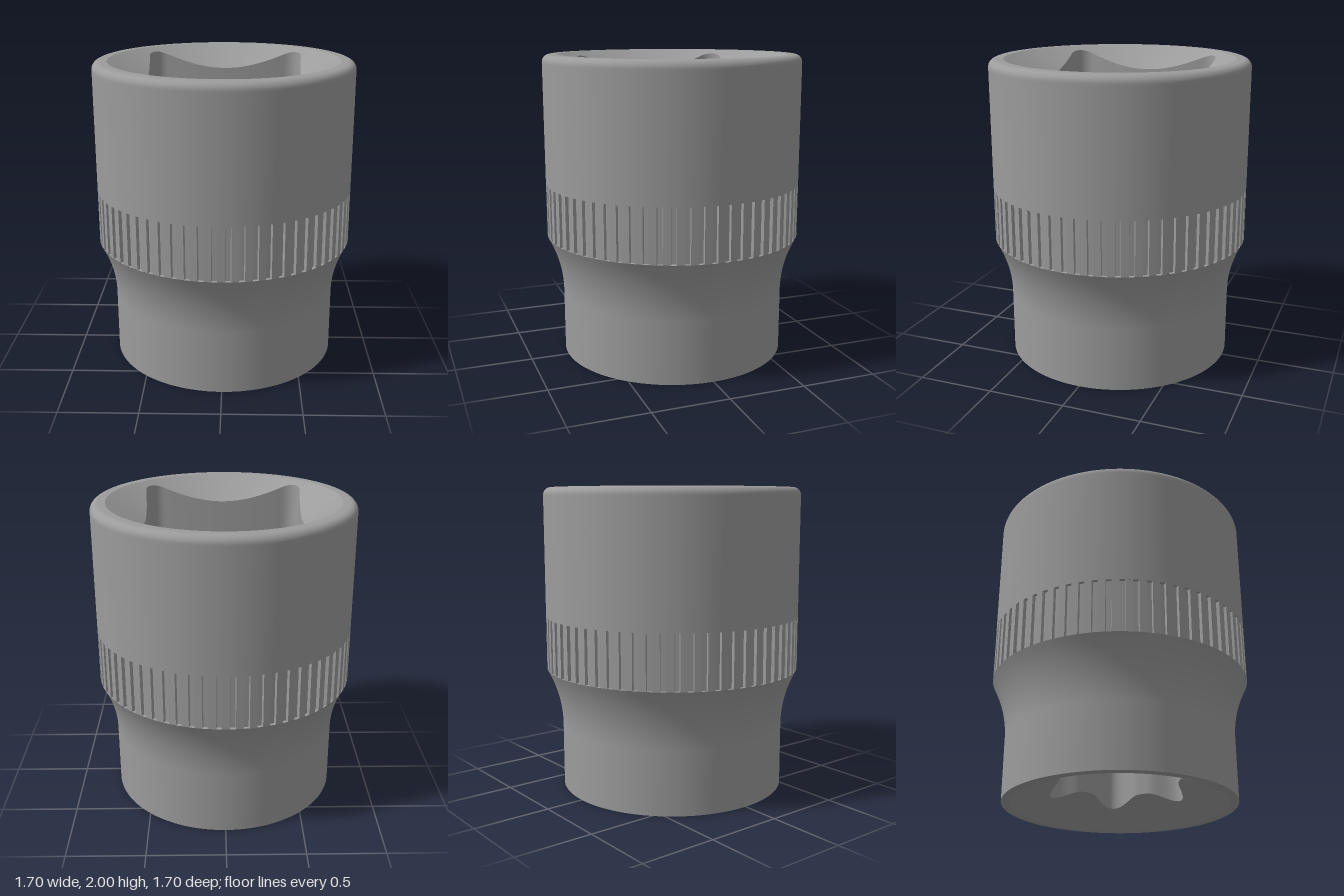
import * as THREE from 'three';

const N = 192;      // points around the smooth rings
const RIBS = 64;    // ribs around the grip band
const R = 0.848;    // barrel radius
const SLOPE = Math.tan(Math.PI / 6); // both lead-in cones

const material = new THREE.MeshStandardMaterial({ color: 0x9c9c9c });

// Closed ring of points, counter-clockwise from above; radius may depend on the angle
function ring(radius, y, n = N) {
  return Array.from({ length: n }, (_, i) => {
    const a = (i / n) * Math.PI * 2;
    const r = typeof radius === 'function' ? radius(a) : radius;
    return new THREE.Vector3(r * Math.cos(a), y, -r * Math.sin(a));
  });
}

// Skin between successive rings; upward order faces outward
function loft(name, rings, flat = false) {
  const n = rings[0].length;
  const index = [];
  for (let j = 0; j < rings.length - 1; j++) {
    for (let i = 0; i < n; i++) {
      const k = (i + 1) % n;
      const a = j * n + i, b = j * n + k, c = a + n, d = b + n;
      index.push(a, b, d, a, d, c);
    }
  }
  let geometry = new THREE.BufferGeometry().setFromPoints(rings.flat());
  geometry.setIndex(index);
  if (flat) geometry = geometry.toNonIndexed();
  geometry.computeVertexNormals();
  const mesh = new THREE.Mesh(geometry, material);
  mesh.name = name;
  return mesh;
}

// Square drive outline with slightly hollow sides and rounded corners
function squareOutline() {
  const shape = new THREE.Shape();
  const turn = (x, y, q) => {
    for (let i = 0; i < q; i++) [x, y] = [-y, x];
    return [x, y];
  };
  shape.moveTo(0.525, -0.42);
  for (let q = 0; q < 4; q++) {
    shape.quadraticCurveTo(...turn(0.483, 0, q), ...turn(0.525, 0.42, q));
    shape.bezierCurveTo(...turn(0.53, 0.48, q), ...turn(0.48, 0.53, q), ...turn(0.42, 0.525, q));
  }
  return shape.getSpacedPoints(N).slice(0, N);
}

// Ring of the grip band: evenly spaced ribs with steep walls
function ribRing(y) {
  const points = [];
  const pitch = (Math.PI * 2) / RIBS;
  for (let i = 0; i < RIBS; i++) {
    for (const [r, t] of [[R, -0.28], [R, 0.28], [R - 0.022, 0.31], [R - 0.022, 0.69]]) {
      const a = (i + t) * pitch;
      points.push(new THREE.Vector3(r * Math.cos(a), y, -r * Math.sin(a)));
    }
  }
  return points;
}

export function createModel() {
  const group = new THREE.Group();
  group.name = 'socket';
  const add = (...args) => group.add(loft(...args));

  // Neck, flaring up to the grip band
  const flare = new THREE.QuadraticBezierCurve(
    new THREE.Vector2(0.748, 0.42), new THREE.Vector2(0.75, 0.62), new THREE.Vector2(R, 0.805));
  add('neck', [ring(0.748, 0), ...flare.getPoints(14).map(p => ring(p.x, p.y))]);

  // Grip band: shallow slots cut between the ribs, closed at both ends
  const bandEdge = y => ribRing(y).map(p => p.setY(0).setLength(R).setY(y));
  add('gripBand', [bandEdge(0.805), ribRing(0.805), ribRing(1.155), bandEdge(1.155)], true);

  // Square drive rings, and circles whose points line up with them
  const outline = squareOutline();
  const squareRing = y => outline.map(p => new THREE.Vector3(
    p.x, y ?? 2 - (0.75 - p.length()) * SLOPE, -p.y));
  const circle = (r, y) => outline.map(p => {
    const k = r / p.length();
    return new THREE.Vector3(p.x * k, y, -p.y * k);
  });

  // Upper barrel with rounded top edge
  const edge = Array.from({ length: 9 }, (_, i) => {
    const a = (i / 8) * Math.PI / 2;
    return circle(R - 0.05 + 0.05 * Math.cos(a), 1.95 + 0.05 * Math.sin(a));
  });
  add('barrel', [circle(R, 1.155), circle(R, 1.94), ...edge]);
  add('topRim', [circle(R - 0.05, 2), circle(0.75, 2)]);

  // Square drive recess, opening into a shallow cone
  add('driveLeadIn', [circle(0.75, 2), squareRing()]);
  add('driveWalls', [squareRing(), squareRing(1.05)]);
  add('driveFloor', [squareRing(1.05), circle(0.225, 1.05)]);

  // Through hole
  add('throughHole', [ring(0.225, 1.05), ring(0.225, 0.75)]);

  // Six-pointed recess, opening into a cone at the bottom
  const star = a => 0.385 + 0.113 * ((1 + Math.cos(6 * (a - Math.PI / 2))) / 2) ** 1.6;
  const starMouth = ring(star, 0).map(p => p.setY((0.69 - Math.hypot(p.x, p.z)) * SLOPE));
  add('starFloor', [ring(0.225, 0.75), ring(star, 0.75)]);
  add('starWalls', [ring(star, 0.75), starMouth]);
  add('starLeadIn', [starMouth, ring(0.69, 0)]);
  add('bottomRim', [ring(0.69, 0), ring(0.748, 0)]);

  return group;
}
